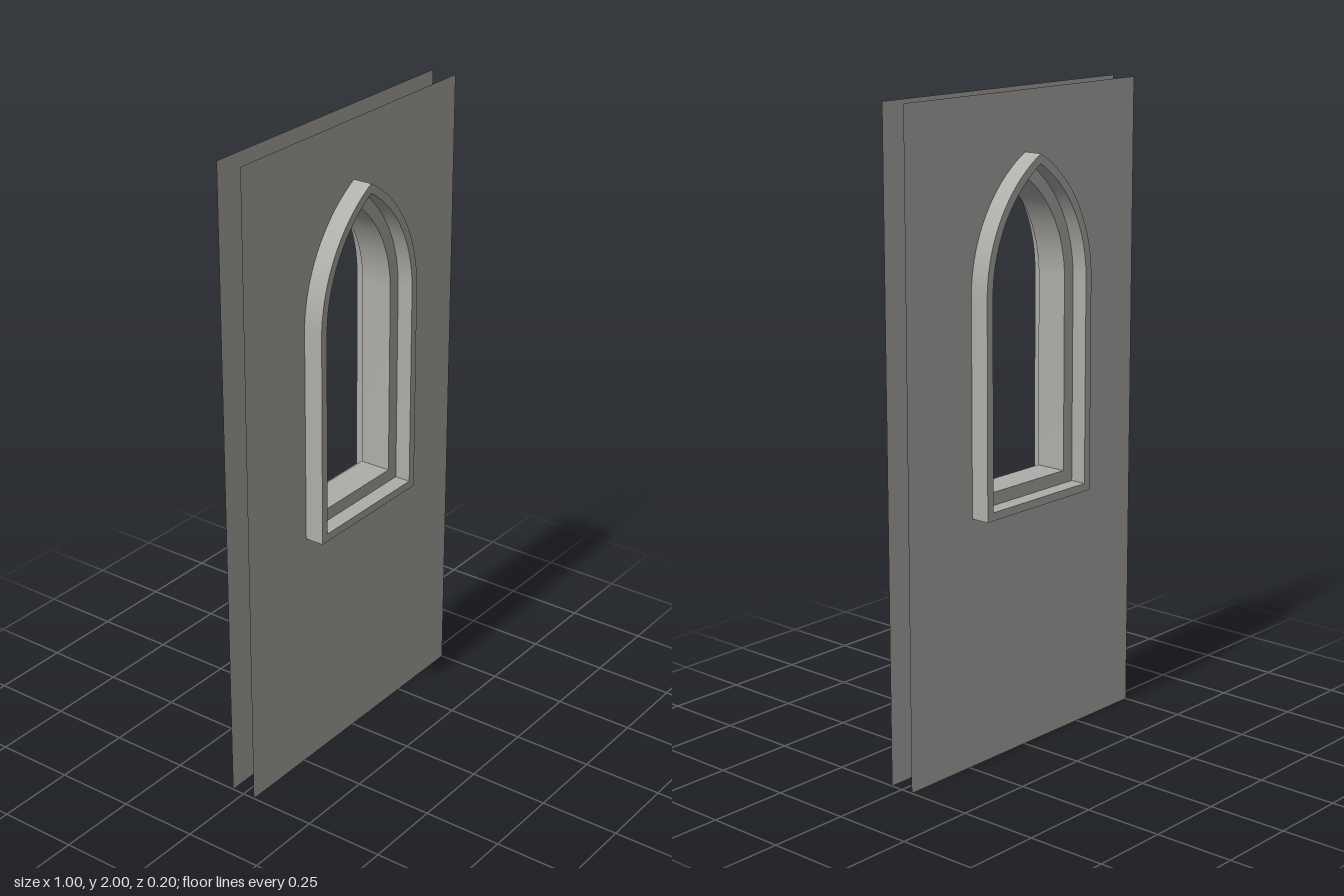
import * as THREE from 'three';
import { toCreasedNormals } from 'three/addons/utils/BufferGeometryUtils.js';

const OUTER = 0.232, MID = 0.207, INNER = 0.167; // half widths of the frame steps
const SPRING = 1.43, CENTRE = 0.2136, SILL = 0.838, STEPS = 18;

// Pointed-arch outline, anticlockwise; all half widths share the same arc centres
function archOutline(w) {
  const r = w + CENTRE, apex = Math.acos(CENTRE / r), y0 = SILL - (w - INNER);
  const right = [];
  for (let i = 0; i <= STEPS; i++) {
    const a = apex * i / STEPS;
    right.push(new THREE.Vector2(r * Math.cos(a) - CENTRE, SPRING + r * Math.sin(a)));
  }
  const left = right.slice(0, -1).reverse().map(p => new THREE.Vector2(-p.x, p.y));
  return [new THREE.Vector2(-w, y0), new THREE.Vector2(w, y0), ...right, ...left];
}

// Stepped section swept round the arch
function frameGeometry() {
  const section = [
    [OUTER, 0.1], [OUTER, -0.1], [MID, -0.1], [MID, -0.05],
    [INNER, -0.05], [INNER, 0.05], [MID, 0.05], [MID, 0.1],
  ];
  const rings = section.map(([w, z]) => archOutline(w).map(p => [p.x, p.y, z]));
  const n = rings[0].length, pos = [];
  rings.forEach((ring, j) => {
    const next = rings[(j + 1) % rings.length];
    for (let i = 0; i < n; i++) {
      const k = (i + 1) % n;
      const a = ring[i], b = next[i], c = next[k], d = ring[k];
      pos.push(...a, ...b, ...c, ...a, ...c, ...d);
    }
  });
  const g = new THREE.BufferGeometry();
  g.setAttribute('position', new THREE.Float32BufferAttribute(pos, 3));
  return toCreasedNormals(g, 0.5);
}

// Flat wall sheet with the window opening cut out
function wallGeometry() {
  const shape = new THREE.Shape([
    new THREE.Vector2(-0.5, 0), new THREE.Vector2(0.5, 0),
    new THREE.Vector2(0.5, 2), new THREE.Vector2(-0.5, 2),
  ]);
  shape.holes.push(new THREE.Path(archOutline(OUTER).reverse()));
  return new THREE.ShapeGeometry(shape);
}

export function createModel() {
  const model = new THREE.Group();
  model.name = 'archedWindowWall';
  const stone = new THREE.MeshStandardMaterial({ color: 0xb0aeaa, side: THREE.DoubleSide });
  stone.name = 'stone grey';

  // Two open wall sheets, facing outward
  const wall = wallGeometry();
  for (const side of [1, -1]) {
    const sheet = new THREE.Mesh(wall, stone);
    sheet.name = side > 0 ? 'frontWall' : 'backWall';
    sheet.position.z = side * 0.04;
    if (side < 0) sheet.rotation.y = Math.PI;
    model.add(sheet);
  }

  // Window frame passing through both sheets
  const frame = new THREE.Mesh(frameGeometry(), stone);
  frame.name = 'windowFrame';
  model.add(frame);
  return model;
}
